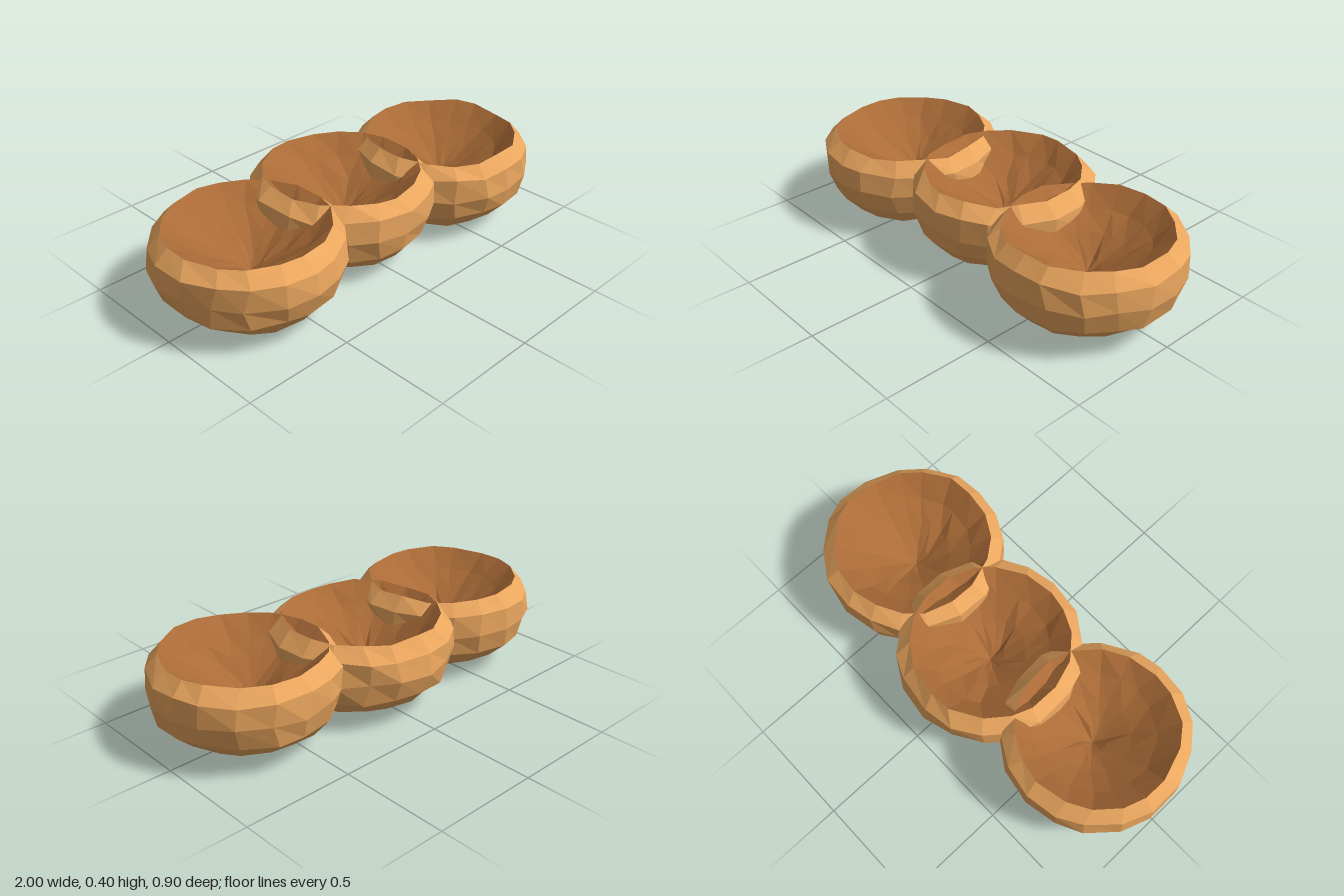
import * as THREE from 'three';

const SEGMENTS = 18;
const shellMaterial = new THREE.MeshStandardMaterial({ color: 0xeaa65e, flatShading: true });
const hollowMaterial = new THREE.MeshStandardMaterial({ color: 0xaa6b37, flatShading: true });

// Profiles as [radius, height]: the shell rises to the rim, the hollow falls from it
const shellProfile = [[0, 0.002], [0.1, 0.006], [0.21, 0.02], [0.315, 0.07], [0.388, 0.145], [0.412, 0.24], [0.407, 0.34], [0.35, 0.395]];
const hollowProfile = [[0.35, 0.395], [0.26, 0.322], [0.16, 0.258], [0.06, 0.195], [0, 0.15]];

// Repeatable noise in -1..1; equal positions get equal values, so seams stay closed
function noise(x, y, z, seed) {
  const [a, b, c] = [x, y, z].map((v) => Math.round(v * 1000));
  const s = Math.sin(a * 12.9898 + b * 78.233 + c * 37.719 + seed * 53.17) * 43758.5453;
  return (s - Math.floor(s)) * 2 - 1;
}

// A turned surface with hand-carved unevenness
function carvedSurface(name, profile, material, seed) {
  const points = profile.map(([r, y]) => new THREE.Vector2(r, y));
  const geometry = new THREE.LatheGeometry(points, SEGMENTS);
  const p = geometry.attributes.position;
  for (let i = 0; i < p.count; i++) {
    const x = p.getX(i), y = p.getY(i), z = p.getZ(i);
    const radial = 1 + 0.018 * noise(x, y, z, seed);
    const lift = 0.009 * noise(x, y, z, seed + 7);
    const twist = 0.06 * noise(x, y, z, seed + 13);
    const c = Math.cos(twist) * radial, s = Math.sin(twist) * radial;
    p.setXYZ(i, x * c - z * s, Math.max(0, y + lift), x * s + z * c);
  }
  geometry.computeVertexNormals();
  const mesh = new THREE.Mesh(geometry, material);
  mesh.name = name;
  return mesh;
}

export function createModel() {
  const model = new THREE.Group();
  model.name = 'tripleBowl';

  // Three overlapping bowls in a slightly staggered row
  const bowls = [['rightBowl', -0.588, 0.02], ['middleBowl', 0, -0.04], ['leftBowl', 0.586, 0.035]];
  bowls.forEach(([name, x, z], i) => {
    const bowl = new THREE.Group();
    bowl.name = name;
    bowl.add(
      carvedSurface('shell', shellProfile, shellMaterial, i + 1),
      carvedSurface('hollow', hollowProfile, hollowMaterial, i + 1),
    );
    bowl.position.set(x, 0, z);
    model.add(bowl);
  });
  return model;
}
